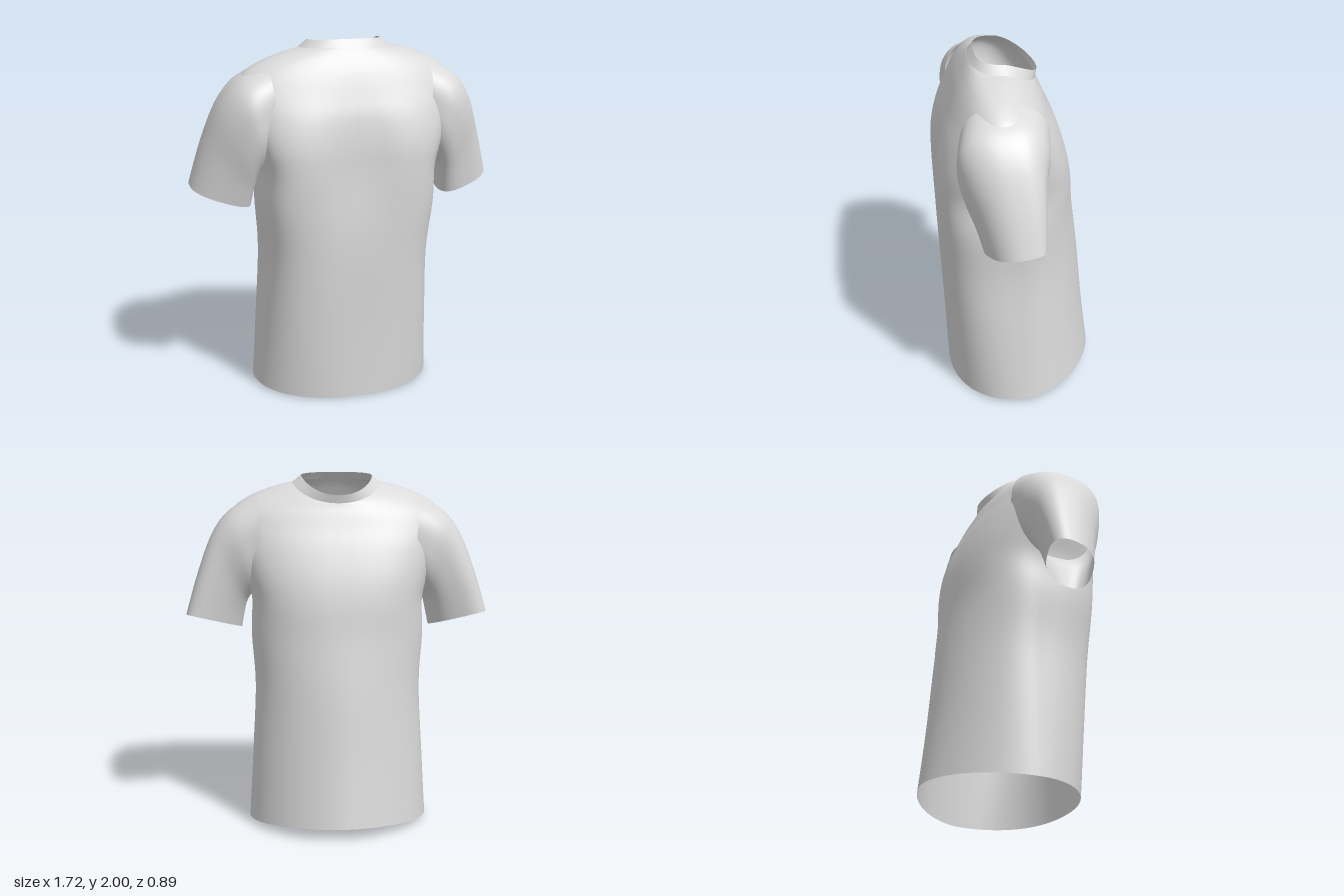
import * as THREE from 'three';

const SEG = 80;

// Smoothly resample a short list of section rows with a Catmull-Rom rule
function resample(rows, steps) {
  const out = [];
  const at = i => rows[Math.max(0, Math.min(rows.length - 1, i))];
  for (let i = 0; i < rows.length - 1; i++) {
    for (let s = 0; s < steps; s++) {
      const t = s / steps;
      out.push(rows[i].map((b, k) => {
        const a = at(i - 1)[k], c = at(i + 1)[k], d = at(i + 2)[k];
        return b + 0.5 * t * (c - a + t * (2 * a - 5 * b + 4 * c - d + t * (3 * (b - c) + d - a)));
      }));
    }
  }
  out.push(rows[rows.length - 1]);
  return out;
}

// Skin closed sections into a smooth open tube
function loft(rows, pointAt) {
  const pos = [], index = [];
  rows.forEach((row, j) => {
    for (let i = 0; i < SEG; i++) {
      pos.push(...pointAt(row, (i / SEG) * Math.PI * 2));
      if (j === rows.length - 1) continue;
      const a = j * SEG + i, b = j * SEG + (i + 1) % SEG;
      index.push(a, a + SEG, b, b, a + SEG, b + SEG);
    }
  });
  const g = new THREE.BufferGeometry();
  g.setAttribute('position', new THREE.Float32BufferAttribute(pos, 3));
  g.setIndex(index);
  g.computeVertexNormals();
  return g;
}

const signedPow = (v, e) => Math.sign(v) * Math.pow(Math.abs(v), e);

// Torso section:
// [y at +z, y at side, y at -z, half width, z max, z side, z min, roundness +z, roundness -z]
function torsoPoint([yP, yS, yM, hw, zP, zS, zM, nP, nM], a) {
  const c = Math.cos(a), s = Math.sin(a);
  const e = 2 / (s > 0 ? nP : nM);
  const x = hw * signedPow(c, e);
  const k = Math.pow(Math.abs(s), e);
  const y = yS + ((s > 0 ? yP : yM) - yS) * Math.pow(k, 1.5);
  let z = zS + ((s > 0 ? zP : zM) - zS) * k;
  // shallow hollow between the shoulder blades
  if (s > 0) z -= 0.045 * Math.exp(-((x / 0.16) ** 2) - ((y - 1.35) / 0.3) ** 2);
  return [x, y, z];
}

// Sleeve section: [outer x, outer y, inner x, inner y, z max, z min, skew, dip towards +z]
function sleevePoint([ux, uy, lx, ly, zP, zM, skew, dip], a) {
  const c = signedPow(Math.cos(a), 0.78), s = signedPow(Math.sin(a), 0.78);
  return [
    (ux + lx) / 2 + c * (ux - lx) / 2,
    (uy + ly) / 2 + c * (uy - ly) / 2 - dip * s,
    (zP + zM) / 2 + s * ((zP - zM) / 2 - Math.abs(skew) / 2) + c * skew,
  ];
}

export function createModel() {
  const group = new THREE.Group();
  group.name = 'tShirt';
  const fabric = new THREE.MeshStandardMaterial({ color: 0xdadada, side: THREE.DoubleSide });
  fabric.name = 'light grey fabric';

  const add = (name, geometry) => {
    const m = new THREE.Mesh(geometry, fabric);
    m.name = name;
    group.add(m);
    return m;
  };

  // Body from hem to collar seam
  const collarSeam = [1.96, 1.95, 1.845, 0.25, 0.25, 0.09, -0.11, 2.4, 2.1];
  const body = [
    [0, 0.02, 0.07, 0.515, 0.40, 0, -0.445, 2.2, 1.75],
    [0.4, 0.4, 0.42, 0.492, 0.415, 0, -0.40, 2.7, 1.8],
    [0.8, 0.8, 0.8, 0.472, 0.435, 0.01, -0.36, 3.3, 1.9],
    [1.1, 1.1, 1.1, 0.49, 0.45, 0.03, -0.32, 3.9, 2.1],
    [1.3, 1.3, 1.3, 0.485, 0.457, 0.05, -0.30, 4.3, 2.5],
    [1.45, 1.45, 1.45, 0.525, 0.452, 0.08, -0.27, 3.9, 2.6],
    [1.6, 1.6, 1.6, 0.575, 0.422, 0.1, -0.22, 3.1, 2.5],
    [1.72, 1.72, 1.71, 0.6, 0.375, 0.12, -0.17, 2.6, 2.4],
    [1.83, 1.81, 1.78, 0.58, 0.328, 0.12, -0.14, 2.3, 2.2],
    [1.90, 1.88, 1.82, 0.48, 0.29, 0.12, -0.12, 2.2, 2.1],
    [1.94, 1.93, 1.84, 0.345, 0.265, 0.11, -0.112, 2.2, 2.1],
    collarSeam,
  ];
  add('body', loft(resample(body, 5), torsoPoint));

  // Neckband
  const collar = [collarSeam, [2.0, 1.99, 1.89, 0.2, 0.22, 0.09, -0.12, 2.7, 2.1]];
  add('collar', loft(resample(collar, 3), torsoPoint));

  // Sleeves, from cuff to shoulder
  const sleeve = [
    [0.86, 1.21, 0.545, 1.12, 0.25, -0.075, -0.05, 0.022],
    [0.79, 1.45, 0.53, 1.2, 0.29, -0.085, -0.04, 0.012],
    [0.705, 1.67, 0.51, 1.28, 0.34, -0.095, -0.02, 0],
    [0.60, 1.80, 0.46, 1.36, 0.365, -0.12, 0, 0],
    [0.45, 1.87, 0.42, 1.44, 0.34, -0.13, 0, 0],
  ];
  const sleeveGeometry = loft(resample(sleeve, 5), sleevePoint);
  add('leftSleeve', sleeveGeometry);
  add('rightSleeve', sleeveGeometry).scale.x = -1;

  return group;
}
